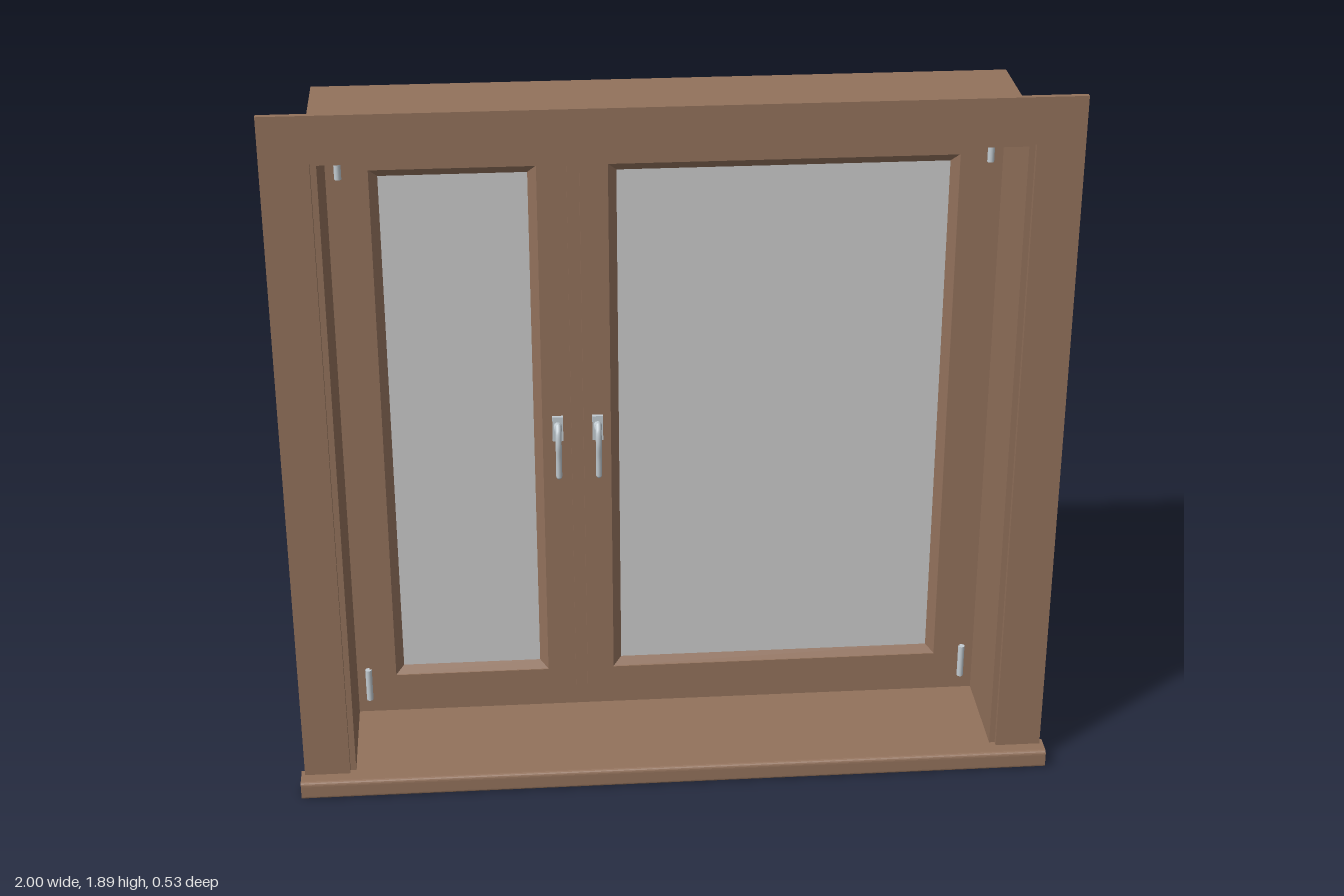
import * as THREE from 'three';

const wood = new THREE.MeshStandardMaterial({ color: 0x93725c });
wood.name = 'brown wood';
const glass = new THREE.MeshStandardMaterial({ color: 0xcbcbcb });
glass.name = 'grey glass';
const metal = new THREE.MeshStandardMaterial({ color: 0xc3ccd2 });
metal.name = 'pale metal';

function add(parent, name, geometry, material = wood) {
  const mesh = new THREE.Mesh(geometry, material);
  mesh.name = name;
  parent.add(mesh);
  return mesh;
}

// box given by its limits on each axis
function block(parent, name, [x0, x1], [y0, y1], [z0, z1], material = wood) {
  const mesh = add(parent, name, new THREE.BoxGeometry(x1 - x0, y1 - y0, z1 - z0), material);
  mesh.position.set((x0 + x1) / 2, (y0 + y1) / 2, (z0 + z1) / 2);
  return mesh;
}

function board(parent, name, points, z, depth) {
  const shape = new THREE.Shape(points.map(([x, y]) => new THREE.Vector2(x, y)));
  const mesh = add(parent, name, new THREE.ExtrudeGeometry(shape, { depth, bevelEnabled: false }));
  mesh.position.z = z;
  return mesh;
}

// sloping ring from an outer rectangle down to an inner one; side = 1 faces front, -1 back
function bevelRing([x0, x1], [y0, y1], w, zOuter, zInner, side) {
  const corners = (d, z) => [[x0 + d, y0 + d, z], [x1 - d, y0 + d, z], [x1 - d, y1 - d, z], [x0 + d, y1 - d, z]];
  const outer = corners(0, zOuter), inner = corners(w, zInner), pos = [];
  for (let i = 0; i < 4; i++) {
    const j = (i + 1) % 4;
    const [a, b, c, d] = side > 0
      ? [outer[i], outer[j], inner[j], inner[i]]
      : [outer[j], outer[i], inner[i], inner[j]];
    pos.push(...a, ...b, ...c, ...a, ...c, ...d);
  }
  const g = new THREE.BufferGeometry();
  g.setAttribute('position', new THREE.Float32BufferAttribute(pos, 3));
  g.computeVertexNormals();
  return g;
}

function makeSash(name, x0, x1) {
  const sash = new THREE.Group();
  sash.name = name;
  const y0 = 0.1, y1 = 1.72, w = 0.072, bead = 0.022, z = [-0.125, -0.06];
  block(sash, 'stile', [x0, x0 + w], [y0, y1], z);
  block(sash, 'stile', [x1 - w, x1], [y0, y1], z);
  block(sash, 'bottomRail', [x0 + w, x1 - w], [y0, y0 + w], z);
  block(sash, 'topRail', [x0 + w, x1 - w], [y1 - w, y1], z);
  const ix = [x0 + w, x1 - w], iy = [y0 + w, y1 - w];
  add(sash, 'frontBead', bevelRing(ix, iy, bead, -0.063, -0.078, 1));
  add(sash, 'backBead', bevelRing(ix, iy, bead, -0.122, -0.107, -1));
  block(sash, 'glassPane', ix, iy, [-0.104, -0.082], glass);
  return sash;
}

function makeHandle(x) {
  const handle = new THREE.Group();
  handle.name = 'handle';
  block(handle, 'handlePlate', [-0.014, 0.014], [-0.035, 0.035], [0, 0.01], metal);
  const neck = add(handle, 'handleNeck', new THREE.CylinderGeometry(0.009, 0.011, 0.04, 16), metal);
  neck.rotation.x = Math.PI / 2;
  neck.position.set(0, 0.01, 0.025);
  // curved lever bending out and down
  const path = new THREE.CatmullRomCurve3([
    [0, 0.022, 0.038], [0, 0.012, 0.05], [0, -0.02, 0.056], [0, -0.07, 0.05], [0, -0.12, 0.046],
  ].map((p) => new THREE.Vector3(...p)));
  add(handle, 'handleLever', new THREE.TubeGeometry(path, 20, 0.008, 10), metal);
  for (const t of [0, 1]) {
    add(handle, 'leverEnd', new THREE.SphereGeometry(0.008, 10, 8), metal).position.copy(path.getPoint(t));
  }
  handle.position.set(x, 0.915, -0.06);
  return handle;
}

export function createModel() {
  const model = new THREE.Group();
  model.name = 'window';

  // deep box lining
  for (const s of [-1, 1]) {
    block(model, 'sideLining', s < 0 ? [-0.89, -0.855] : [0.855, 0.89], [0, 1.8], [-0.265, 0.21]);
  }
  block(model, 'topLining', [-0.855, 0.855], [1.765, 1.8], [-0.265, 0.21]);
  block(model, 'topBackLip', [-0.855, 0.855], [1.735, 1.765], [-0.265, -0.13]);
  block(model, 'bottomBackLedge', [-0.855, 0.855], [0, 0.07], [-0.265, -0.1]);
  block(model, 'innerSill', [-0.855, 0.855], [0, 0.05], [-0.1, 0.21]);

  // rounded sill nose, profile in z and y
  const nose = new THREE.Shape();
  nose.moveTo(0.205, 0);
  nose.lineTo(0.257, 0);
  nose.quadraticCurveTo(0.265, 0, 0.265, 0.008);
  nose.lineTo(0.265, 0.038);
  nose.quadraticCurveTo(0.265, 0.05, 0.253, 0.05);
  nose.lineTo(0.205, 0.05);
  const noseGeo = new THREE.ExtrudeGeometry(nose, { depth: 2, bevelEnabled: false, curveSegments: 5 });
  noseGeo.rotateY(-Math.PI / 2).scale(1, 1, 1).translate(1, 0, 0);
  add(model, 'sillNose', noseGeo);

  // mitred casing
  for (const s of [-1, 1]) {
    board(model, 'sideCasing', [[s * 0.99, 0.05], [s * 0.87, 0.05], [s * 0.87, 1.775], [s * 0.99, 1.895]], 0.21, 0.015);
  }
  board(model, 'topCasing', [[-0.87, 1.775], [0.87, 1.775], [0.99, 1.895], [-0.99, 1.895]], 0.21, 0.015);

  // fixed frame with mullion
  const fz = [-0.135, -0.075];
  block(model, 'frameJamb', [-0.855, -0.805], [0.05, 1.765], fz);
  block(model, 'frameJamb', [0.805, 0.855], [0.05, 1.765], fz);
  block(model, 'frameHead', [-0.805, 0.805], [1.71, 1.765], fz);
  block(model, 'frameBottom', [-0.805, 0.805], [0.05, 0.11], fz);
  block(model, 'mullion', [-0.31, -0.17], [0.11, 1.71], fz);
  block(model, 'mullionCover', [-0.254, -0.226], [0.1, 1.72], [-0.08, -0.066]);

  // opening sashes
  model.add(makeSash('narrowSash', -0.82, -0.258));
  model.add(makeSash('wideSash', -0.222, 0.815));

  // handles and hinges
  model.add(makeHandle(-0.29), makeHandle(-0.185));
  for (const x of [-0.823, 0.82]) {
    for (const y of [0.147, 1.675]) {
      add(model, 'hinge', new THREE.CylinderGeometry(0.009, 0.009, 0.095, 12), metal).position.set(x, y, -0.058);
    }
  }
  return model;
}
